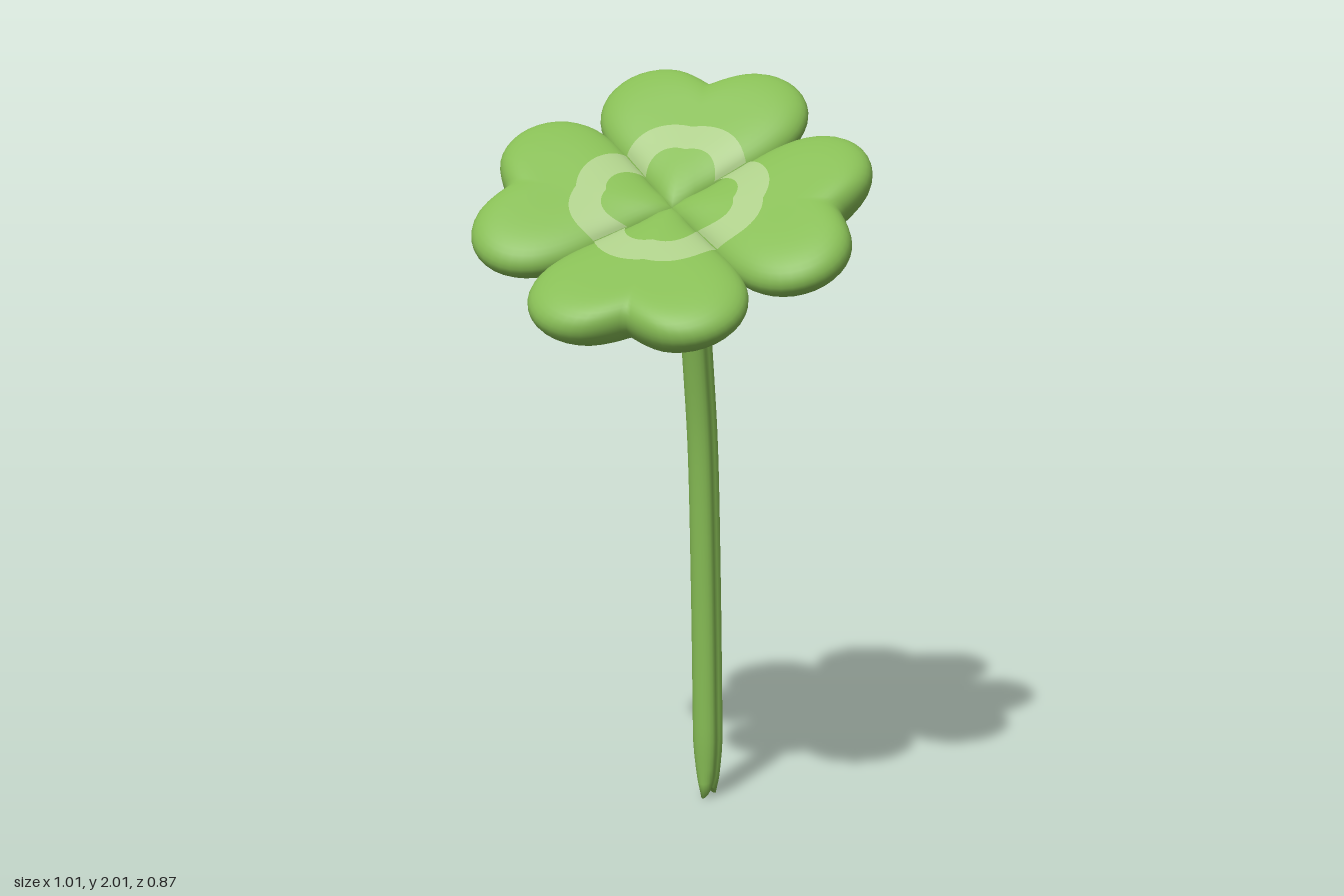
import * as THREE from 'three';
import { mergeVertices } from 'three/addons/utils/BufferGeometryUtils.js';

const leafGreen = new THREE.MeshStandardMaterial({ color: 0x87bd55 });
leafGreen.name = 'leaf green';
const paleGreen = new THREE.MeshStandardMaterial({ color: 0xaccd88 });
paleGreen.name = 'pale band green';

// Heart outline: radius from the leaf centre every 15 degrees, notch to base
const LEAF_CENTRE = 0.3;
const radii = [0.15, 0.183, 0.23, 0.266, 0.287, 0.29, 0.275, 0.25, 0.23, 0.22, 0.227, 0.252, 0.305];
const outline = new THREE.SplineCurve(radii.map((r, i) => new THREE.Vector2(i, r)));
const heartRadius = (angle) => {
  const a = Math.abs(Math.atan2(Math.sin(angle), Math.cos(angle)));
  return outline.getPoint(Math.min(a / Math.PI, 1)).y;
};

// Gently cupped middle surface, and half thickness of the cushion
const cup = (x, z) => 0.1 * (x * x + z * z) - 0.006;
const puff = (x, z, rho) => (0.05 + 0.04 * Math.hypot(x, z)) * Math.sqrt(Math.max(0, 1 - rho ** 4));

// Surface from a grid of points; rows that shrink to a pole give single triangles
function gridGeometry(rows, cols, point) {
  const pts = [], idx = [];
  for (let i = 0; i <= rows; i++) {
    for (let j = 0; j <= cols; j++) pts.push(new THREE.Vector3(...point(i, j)));
  }
  const same = (a, b) => pts[a].distanceTo(pts[b]) < 1e-5;
  for (let i = 0; i < rows; i++) {
    for (let j = 0; j < cols; j++) {
      const a = i * (cols + 1) + j, b = a + 1, c = a + cols + 1, d = c + 1;
      if (!same(a, b)) idx.push(a, b, c);
      if (!same(c, d)) idx.push(b, d, c);
    }
  }
  let g = new THREE.BufferGeometry().setFromPoints(pts);
  g.setIndex(idx);
  g = mergeVertices(g, 1e-5);
  g.computeVertexNormals();
  return g;
}

// Puffed heart from top pole over the rim to the bottom pole
function leafGeometry() {
  const rows = 28, cols = 64;
  return gridGeometry(rows, cols, (i, j) => {
    const t = (Math.PI * i) / rows, angle = (2 * Math.PI * (j % cols)) / cols;
    const rho = Math.sin(t), r = rho * heartRadius(angle);
    const x = LEAF_CENTRE + r * Math.cos(angle), z = r * Math.sin(angle);
    const side = i * 2 < rows ? 1 : -1;
    return [x, cup(x, z) + side * puff(x, z, rho), z];
  });
}

// Pale band lying just above the leaf's upper face
function bandGeometry() {
  return gridGeometry(8, 48, (i, j) => {
    const phi = (j / 48 - 0.5) * (Math.PI / 2) * 0.99;
    const bulge = Math.abs(Math.sin(2 * Math.PI * (j / 48))) * 0.014;
    const lobe = Math.cos(2 * phi);
    const inner = 0.132 + 0.038 * lobe + bulge, outer = 0.23 + 0.02 * lobe + bulge;
    const r = inner + (outer - inner) * (i / 8);
    const x = r * Math.cos(phi), z = r * Math.sin(phi);
    const dx = x - LEAF_CENTRE;
    const rho = Math.min(1, Math.hypot(dx, z) / heartRadius(Math.atan2(z, dx)));
    return [x, cup(x, z) + puff(x, z, rho) + 0.005, z];
  });
}

// Grooved stalk with a forked foot
function stemGeometry() {
  const path = new THREE.CatmullRomCurve3([
    [0.045, 1.635, -0.08], [0.075, 1.53, -0.125], [0.098, 1.4, -0.168], [0.122, 1.2, -0.21],
    [0.14, 1, -0.238], [0.155, 0.6, -0.26], [0.163, 0.2, -0.268], [0.166, 0, -0.27],
  ].map((p) => new THREE.Vector3(...p)));
  const rows = 40, cols = 28;
  return gridGeometry(rows + 2, cols, (i, j) => {
    const k = Math.min(Math.max(i - 1, 0), rows);
    const p = path.getPointAt(k / rows);
    const height = Math.max(0, p.y);
    // angle 0 points at the grooved side, +x +z
    const a = (2 * Math.PI * (j % cols)) / cols;
    const off = Math.atan2(Math.sin(a), Math.cos(a));
    const taper = Math.min(1, height / 0.16);
    const cap = i === 0 || i === rows + 2 ? 0 : 1;
    const groove = 1 - 0.3 * Math.exp(-((off / 0.4) ** 2));
    const radius = cap * groove * (0.024 + 0.018 * Math.min(1, (1.64 - height) / 0.25));
    const u = radius * Math.cos(a) * (0.35 + 0.65 * Math.sqrt(taper));
    const v = radius * Math.sin(a) * (0.75 + 0.25 * taper);
    const fork = (1 - cap * Math.abs(Math.sin(a))) * 0.03 * Math.max(0, 1 - height / 0.12);
    return [p.x + (u - v) * Math.SQRT1_2, height + fork, p.z + (u + v) * Math.SQRT1_2];
  });
}

export function createModel() {
  const model = new THREE.Group();
  model.name = 'clover';

  // Tilted head with four leaves
  const head = new THREE.Group();
  head.name = 'cloverHead';
  const front = new THREE.Vector3(-0.404, -0.613, 0.681).normalize();
  const up = front.clone().cross(new THREE.Vector3(0.844, -0.078, 0.533)).normalize();
  const right = up.clone().cross(front);
  head.quaternion.setFromRotationMatrix(new THREE.Matrix4().makeBasis(right, up, front));
  head.position.set(0.005, 1.665, -0.015);
  const leafShape = leafGeometry(), bandShape = bandGeometry();
  const spotShape = new THREE.CylinderGeometry(0.028, 0.028, 0.008, 12);
  for (let i = 0; i < 4; i++) {
    const leaf = new THREE.Group();
    leaf.name = `leaf${i + 1}`;
    leaf.rotation.y = (i * Math.PI) / 2;
    const blade = new THREE.Mesh(leafShape, leafGreen);
    blade.name = 'leafBlade';
    const band = new THREE.Mesh(bandShape, paleGreen);
    band.name = 'paleBand';
    // Pale patch under the seam between neighbouring leaves
    const spot = new THREE.Mesh(spotShape, paleGreen);
    spot.name = 'seamSpot';
    spot.position.set(0.187, -0.036, 0.187);
    leaf.add(blade, band, spot);
    head.add(leaf);
  }
  model.add(head);

  const stem = new THREE.Mesh(stemGeometry(), leafGreen);
  stem.name = 'stem';
  model.add(stem);
  return model;
}
